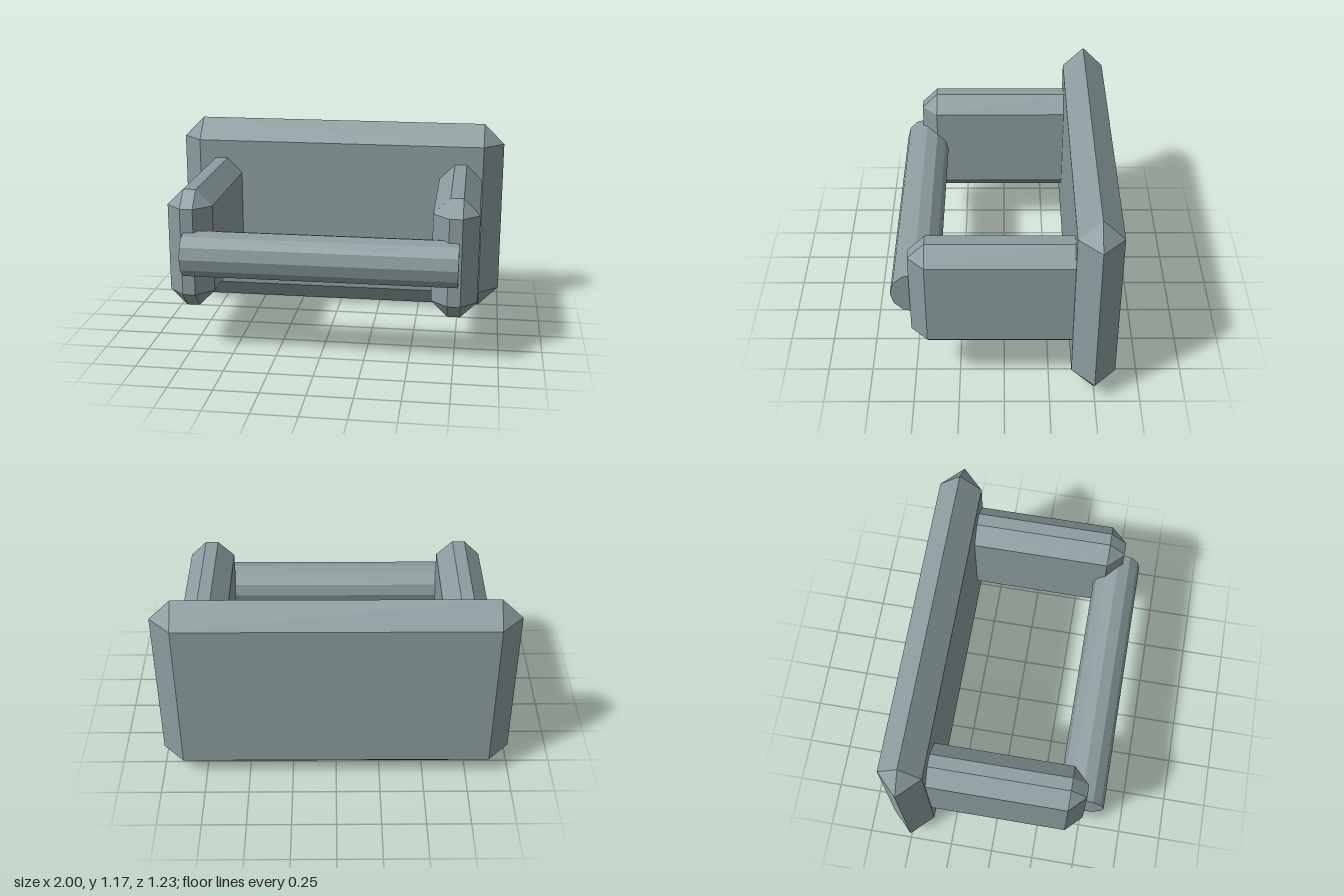
import * as THREE from 'three';
import { ConvexGeometry } from 'three/addons/geometries/ConvexGeometry.js';

// Box with every edge cut at 45 degrees and a triangle at every corner
function chamferedBox(w, h, d, c) {
  const points = [];
  for (const sx of [-1, 1]) for (const sy of [-1, 1]) for (const sz of [-1, 1]) {
    const [x, y, z] = [w / 2, h / 2, d / 2];
    for (const p of [[x, y - c, z - c], [x - c, y, z - c], [x - c, y - c, z]]) {
      const v = new THREE.Vector3(p[0] * sx, p[1] * sy, p[2] * sz);
      if (!points.some((q) => q.distanceTo(v) < 1e-6)) points.push(v);
    }
  }
  return new ConvexGeometry(points);
}

export function createModel() {
  const model = new THREE.Group();
  model.name = 'wallBarHolder';
  const metal = new THREE.MeshStandardMaterial({ color: 0x8c9c9f, flatShading: true });
  metal.name = 'greyMetal';

  const add = (name, geometry, x, y, z) => {
    const mesh = new THREE.Mesh(geometry, metal);
    mesh.name = name;
    mesh.position.set(x, y, z);
    model.add(mesh);
    return mesh;
  };

  // Back plate, its edges chamfered to a ridge
  add('backPlate', chamferedBox(2, 1.172, 0.244, 0.122), 0, 0.586, -0.494);

  // Side arms, set into the plate
  const armGeometry = chamferedBox(0.256, 0.684, 0.99, 0.092);
  for (const side of [-1, 1]) {
    add(side > 0 ? 'leftArm' : 'rightArm', armGeometry, side * 0.743, 0.598, 0.016);
  }

  // Twelve-sided cross bar between the arms
  const barGeometry = new THREE.CylinderGeometry(0.132, 0.132, 1.53, 12).rotateZ(Math.PI / 2);
  add('crossBar', barGeometry, 0, 0.588, 0.485);

  return model;
}
